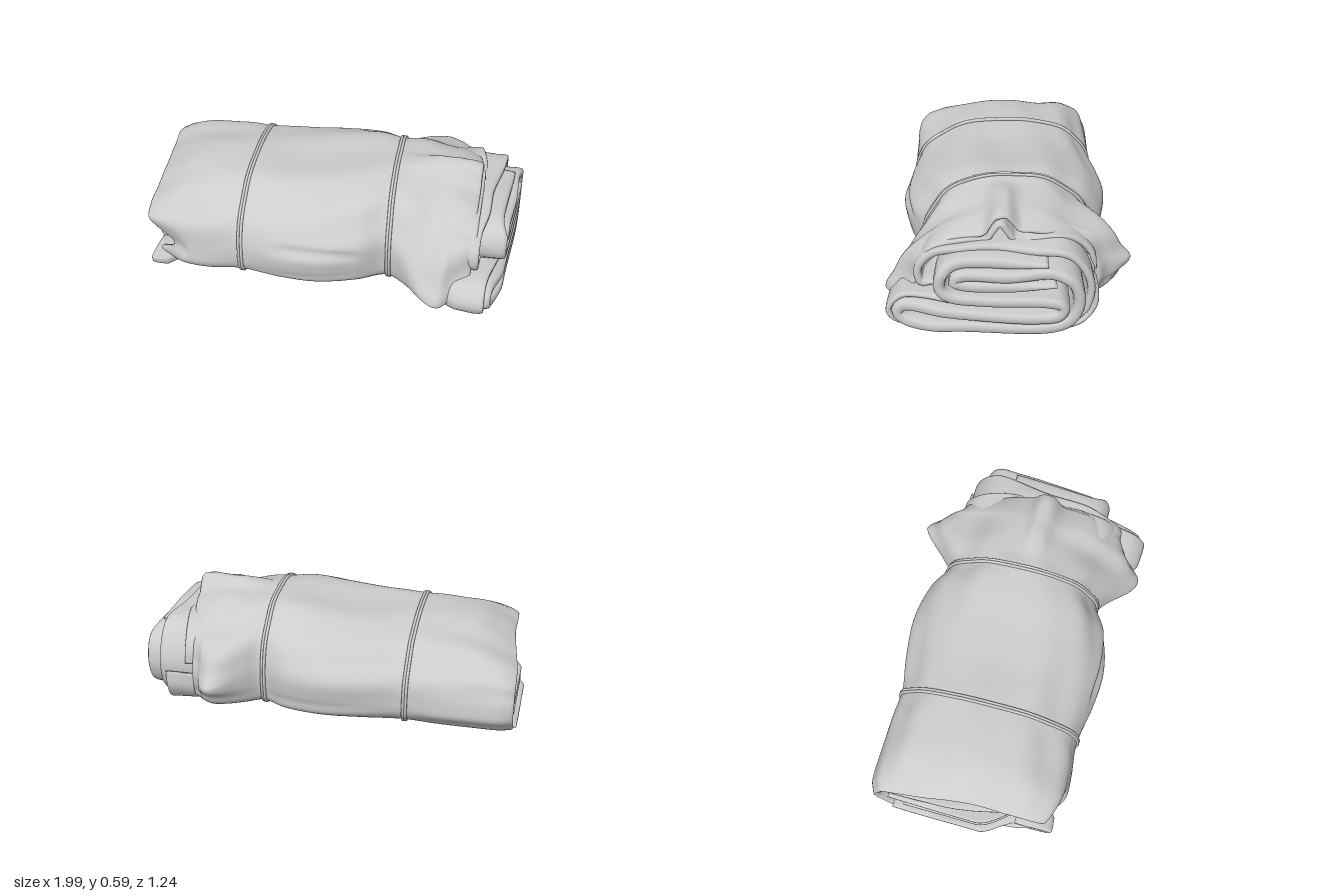
import * as THREE from 'three';

const material = new THREE.MeshStandardMaterial({ color: 0xcccccc, side: THREE.DoubleSide });
const V = (x, y, z) => new THREE.Vector3(x, y, z);
const { smoothstep: smooth, lerp, clamp } = THREE.MathUtils;
const bell = (v, c, w) => Math.exp(-(((v - c) / w) ** 2));

// Wrapped bundle: x, back z, back bulge y, front z, front bulge y, top y
const stations = [
  [-0.98, -0.45, 0.2, 0.48, 0.24, 0.37],
  [-0.92, -0.475, 0.2, 0.505, 0.22, 0.405],
  [-0.78, -0.48, 0.2, 0.535, 0.17, 0.465],
  [-0.6, -0.48, 0.2, 0.535, 0.14, 0.495],
  [-0.42, -0.47, 0.2, 0.515, 0.15, 0.505],
  [-0.2, -0.505, 0.2, 0.545, 0.15, 0.505],
  [0, -0.525, 0.2, 0.55, 0.16, 0.525],
  [0.2, -0.495, 0.2, 0.5, 0.18, 0.555],
  [0.34, -0.43, 0.2, 0.425, 0.18, 0.56],
  [0.42, -0.49, 0.21, 0.46, 0.15, 0.55],
  [0.56, -0.62, 0.22, 0.58, 0.09, 0.55],
  [0.64, -0.57, 0.21, 0.605, 0.08, 0.54],
  [0.7, -0.52, 0.2, 0.54, 0.1, 0.52],
  [0.78, -0.47, 0.2, 0.48, 0.13, 0.49],
];

// Smooth interpolation between the stations
function station(x) {
  let i = 0;
  while (i < stations.length - 2 && x > stations[i + 1][0]) i++;
  const at = (k) => stations[clamp(k, 0, stations.length - 1)];
  const [p, a, b, n] = [at(i - 1), at(i), at(i + 1), at(i + 2)];
  const d = b[0] - a[0], t = (x - a[0]) / d;
  return a.map((v, k) => {
    const m0 = (b[k] - p[k]) / (b[0] - p[0]) * d, m1 = (n[k] - v) / (n[0] - a[0]) * d;
    return v + m0 * t + (3 * (b[k] - v) - 2 * m0 - m1) * t * t + (2 * (v - b[k]) + m0 + m1) * t ** 3;
  });
}

// Point on the cloth surface: a = 0 at the front, a quarter turn at the top
function surface(x, a) {
  const [, zb, yb, zf, yf, top] = station(x);
  const c = Math.cos(a), s = Math.sin(a);
  const wing = bell(x, 0.58, 0.11), edge = smooth(-x, 0.6, 0.98);
  const e = s > 0 ? lerp(0.86, 1.3, wing) - 0.2 * edge : lerp(0.62, 0.95, wing);
  const side = lerp(yb, yf, smooth(c, -0.5, 0.5));
  let z = (c > 0 ? zf : zb) * Math.abs(c) ** e;
  let y = side + (s > 0 ? top - side : -side) * Math.abs(s) ** e;
  // long soft folds, stronger in the flare beyond the cord
  const flare = smooth(x, 0.36, 0.6);
  const calm = smooth(y, 0.02, 0.15) * (1 - 0.6 * (bell(x, -0.42, 0.07) + bell(x, 0.34, 0.05)));
  const fold = calm * (0.007 * Math.sin(7 * a + 2.5 * x) + 0.005 * Math.sin(11 * a - 4 * x)
    + flare * 0.012 * Math.sin(10 * a + 3 * x) * Math.abs(c));
  z += c * fold;
  y += s * fold;
  // pinched ridge along the top and the crease on the front
  if (s > 0) y += lerp(0.035, 0.08, smooth(x, 0.6, 0.78)) * smooth(x, 0.3, 0.6) * Math.exp(-(((z - 0.025) / 0.065) ** 4));
  if (c > 0) z -= 0.02 * bell(y, 0.2 + 0.06 * Math.cos(3 * x), 0.025) * smooth(0.3 - Math.abs(x), 0, 0.2);
  // slanted, partly open left edge; right edge drawn back behind
  const open = 0.15 * smooth(z, 0.05, 0.4) * bell(y, 0.17, 0.09) + 0.05 * smooth(z, -0.4, 0.15);
  const draw = 0.08 * smooth(-z, 0.05, 0.48) * smooth(x, 0.6, 0.78);
  // the cords press the underside up a little
  const floor = 0.013 * (bell(x, -0.42, 0.05) + bell(x, 0.34, 0.05));
  return V(x + edge * open - draw, Math.max(y, floor), z);
}

// Skin over a list of closed rings
function loft(name, rings) {
  const m = rings[0].length, index = [];
  for (let i = 0; i < rings.length - 1; i++)
    for (let j = 0; j < m; j++) {
      const k = (j + 1) % m, a = i * m + j, b = i * m + k;
      index.push(a, a + m, b, a + m, b + m, b);
    }
  const g = new THREE.BufferGeometry().setFromPoints(rings.flat());
  g.setIndex(index);
  g.computeVertexNormals();
  const mesh = new THREE.Mesh(g, material);
  mesh.name = name;
  return mesh;
}

// Outer cloth with a rolled rim and a hollow at each end
function outerWrap() {
  const ring = (x, scale = 1, dx = 0) => Array.from({ length: 144 }, (_, j) => {
    const p = surface(x, j / 144 * Math.PI * 2);
    return V(p.x + dx, 0.2 + (p.y - 0.2) * scale, p.z * scale);
  });
  const rim = [[0, 0.22], [0.93, 0.2], [0.93, 0.012], [0.95, 0], [0.975, -0.005]];
  const rings = rim.map(([s, d]) => ring(-0.98, s, d));
  for (let i = 0; i <= 110; i++) rings.push(ring(-0.98 + 1.76 * i / 110));
  rim.reverse().forEach(([s, d]) => rings.push(ring(0.78, s, -d)));
  return loft('outerWrap', rings);
}

// Folded sheet: path of [z, y] points, swept in x from x0 to end(z, y), narrower where it starts
function foldedSheet(name, path, thick, x0, end) {
  const n = path.length * 9;
  const curve = new THREE.CatmullRomCurve3(path.map(([z, y]) => V(0, y, z)), false, 'centripetal');
  const samples = Array.from({ length: n + 1 }, (_, i) => {
    const u = i / n;
    return { u, p: curve.getPointAt(u), t: curve.getTangentAt(u) };
  });
  const rows = [[0, 1], [0.2, 1], [0.4, 1], [0.6, 1], [0.85, 1], [0.95, 1], [0.985, 0.8], [1, 0.4], [1, 0]];
  return loft(name, rows.map(([t, w]) => {
    const spread = lerp(0.8, 1, smooth(t, 0, 0.7));
    const side = (sign) => samples.map(({ u, p, t: d }) => {
      const taper = Math.min(1, 0.4 + 12 * Math.min(u, 1 - u));
      const h = sign * w * thick / 2 * taper;
      const wave = 0.006 * Math.sin(9 * t + 14 * u);
      const x = lerp(x0, end(p.z, p.y), t);
      return V(x, Math.max(0.004, p.y - d.z * h + wave * Math.abs(d.z)), (p.z + d.y * h) * spread);
    });
    return [...side(1), ...side(-1).reverse()];
  }));
}

// Doubled cord lying on the cloth
function cord(name, x, lean, skew) {
  const group = new THREE.Group();
  group.name = name;
  for (const offset of [-0.007, 0.007]) {
    const pts = Array.from({ length: 72 }, (_, j) => {
      const a = j / 72 * Math.PI * 2;
      const p = surface(x + offset - lean * Math.sin(a) + skew * Math.cos(a), a);
      return V(p.x, Math.max(0.008, p.y + 0.004 * Math.sin(a)), p.z + 0.004 * Math.cos(a));
    });
    const strand = new THREE.Mesh(
      new THREE.TubeGeometry(new THREE.CatmullRomCurve3(pts, true), 180, 0.008, 8, true), material);
    strand.name = 'cordStrand';
    group.add(strand);
  }
  return group;
}

export function createModel() {
  const model = new THREE.Group();
  model.name = 'clothBundle';
  model.add(outerWrap(), cord('leftEndCord', -0.423, 0.008, 0.01), cord('rightEndCord', 0.34, 0.004, 0.014));

  // right end: inner roll, wrapping layers and lower flap
  model.add(
    foldedSheet('innerRoll', [[-0.24, 0.3], [0, 0.285], [0.2, 0.285], [0.255, 0.305], [0.22, 0.335],
      [0, 0.34], [-0.24, 0.355], [-0.32, 0.31], [-0.35, 0.2], [-0.31, 0.1], [-0.22, 0.055], [0.2, 0.04],
      [0.48, 0.045], [0.535, 0.09], [0.5, 0.135], [0.2, 0.12], [-0.15, 0.11], [-0.26, 0.13],
      [-0.275, 0.18], [-0.2, 0.2], [0.1, 0.19], [0.27, 0.205], [0.32, 0.25], [0.31, 0.33], [0.25, 0.375], [-0.2, 0.395]],
    0.058, 0.5, (z, y) => 0.95 + 0.04 * smooth(-z, -0.4, 0.3) - 0.05 * smooth(z, 0.3, 0.55)
      - 0.04 * smooth(y, 0.33, 0.4)),
    foldedSheet('middleLayer', [[0.34, 0.22], [0.42, 0.22], [0.43, 0.3], [0.36, 0.385], [0.2, 0.42], [-0.1, 0.43],
      [-0.28, 0.425], [-0.36, 0.36], [-0.41, 0.24], [-0.39, 0.12], [-0.35, 0.06]],
    0.04, 0.5, (z) => 0.85 + 0.05 * smooth(-z, -0.1, 0.3) - 0.03 * smooth(z, 0.2, 0.4)),
    foldedSheet('topPleat', [[0.42, 0.33], [0.35, 0.41], [0.2, 0.445], [0.1, 0.44], [0.07, 0.48], [0.03, 0.525],
      [-0.01, 0.48], [-0.04, 0.445], [-0.2, 0.455], [-0.33, 0.425], [-0.41, 0.35], [-0.44, 0.26]],
    0.03, 0.5, (z) => 0.8 - 0.05 * smooth(-z, 0.1, 0.45)),
    foldedSheet('lowerFlap', [[-0.445, 0.2], [-0.43, 0.1], [-0.36, 0.025], [0, 0.018], [0.4, 0.018], [0.55, 0.04],
      [0.58, 0.09], [0.52, 0.165], [0.4, 0.18], [0.2, 0.165]],
    0.03, 0.5, (z) => 0.92 - 0.05 * smooth(z, 0.2, 0.55) - 0.06 * smooth(-z, 0.2, 0.44)),
  );

  // left end: lower lip of the top roll and loose flaps
  model.add(
    foldedSheet('leftTopFold', [[-0.4, 0.2], [-0.1, 0.22], [0.22, 0.21], [0.37, 0.225], [0.43, 0.27], [0.39, 0.315]],
      0.035, -0.7, (z) => -0.96 + 0.08 * smooth(z, -0.1, 0.4)),
    foldedSheet('leftMiddleFlap', [[-0.38, 0.18], [-0.1, 0.16], [0.2, 0.13], [0.38, 0.12], [0.41, 0.1],
      [0.2, 0.09], [-0.3, 0.1]],
    0.03, -0.7, (z) => -0.98 + 0.17 * smooth(z, 0.1, 0.4)),
    foldedSheet('leftBottomFlap', [[-0.36, 0.05], [0, 0.03], [0.3, 0.025], [0.47, 0.035], [0.5, 0.06], [0.3, 0.065]],
      0.03, -0.7, (z) => -1 + 0.09 * smooth(z, 0.12, 0.3)),
  );
  return model;
}
